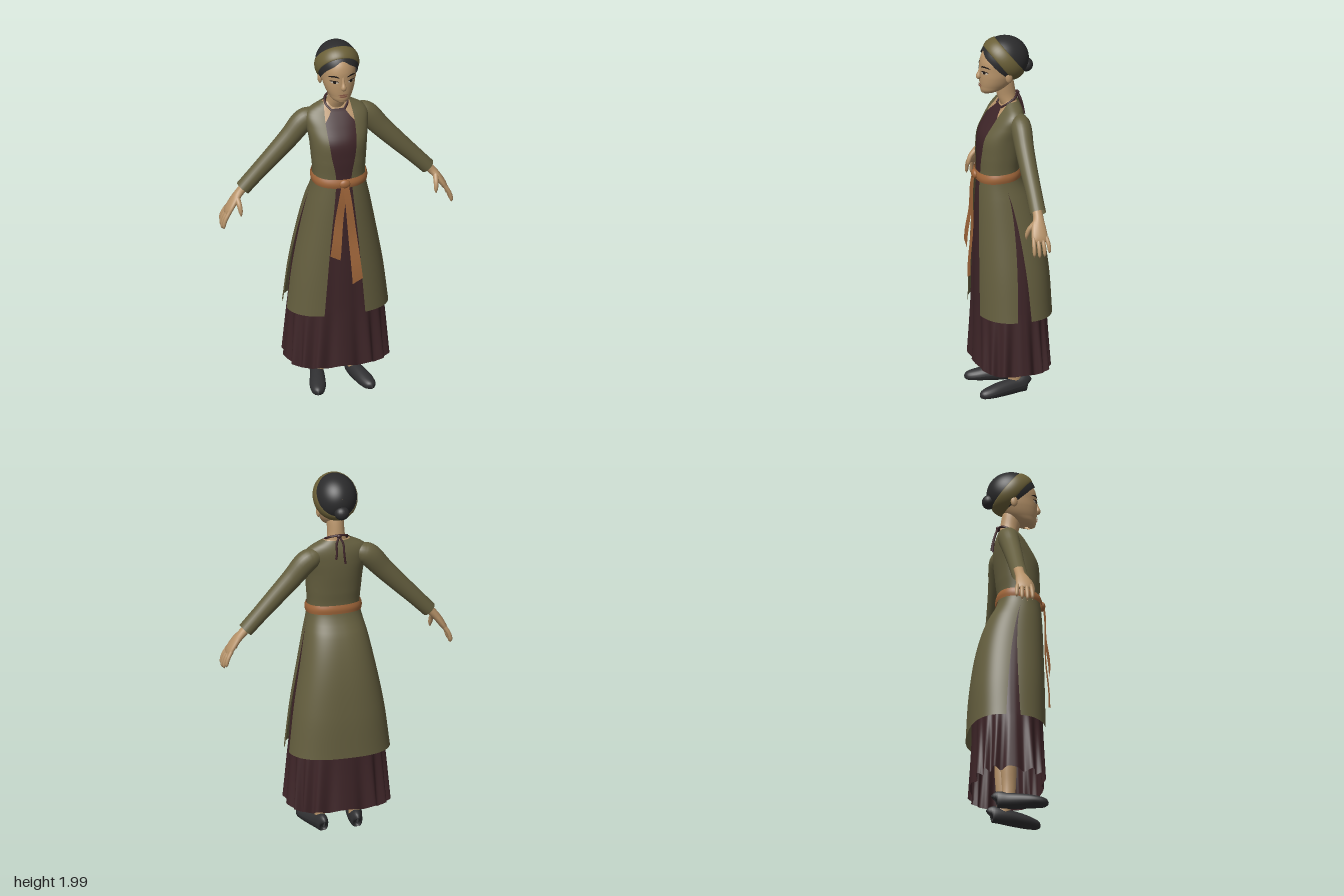
import * as THREE from 'three';
import { ParametricGeometry } from 'three/addons/geometries/ParametricGeometry.js';

const mat = (name, color) => new THREE.MeshStandardMaterial({ name, color, side: THREE.DoubleSide });
const { sin, cos, PI, abs, sign, min, max, asin } = Math;

// Smooth lookup in a table whose rows start with their key
function table(rows) {
  const f = new THREE.CubicInterpolant(rows.map(r => r[0]), rows.flatMap(r => r.slice(1)), rows[0].length - 1);
  return k => [...f.evaluate(k)];
}
const ramp = (y, y0, y1) => max(0, min(1, (y - y0) / (y1 - y0)));

// Body sections: height, half width, front z, back z, roundness
const coatBody = table([
  [0.46, 0.278, 0.185, -0.225, 0.76], [0.7, 0.247, 0.182, -0.212, 0.77], [0.95, 0.2, 0.177, -0.175, 0.8],
  [1.1, 0.169, 0.172, -0.128, 0.83], [1.2, 0.145, 0.165, -0.075, 0.86], [1.24, 0.14, 0.16, -0.062, 0.87],
  [1.35, 0.147, 0.16, -0.07, 0.88], [1.45, 0.156, 0.15, -0.08, 0.88], [1.52, 0.167, 0.11, -0.083, 0.88],
  [1.575, 0.168, 0.07, -0.08, 0.88], [1.605, 0.145, 0.045, -0.073, 0.9], [1.642, 0.075, 0.028, -0.06, 1]]);
const dressBody = table([
  [0.15, 0.266, 0.172, -0.2, 0.64], [0.46, 0.25, 0.168, -0.192, 0.74], [0.7, 0.228, 0.168, -0.19, 0.77],
  [0.95, 0.186, 0.164, -0.16, 0.8], [1.1, 0.157, 0.16, -0.115, 0.83], [1.24, 0.128, 0.15, -0.05, 0.87]]);
const headBody = table([
  [1.684, 0.015, 0.125, 0.08, 1], [1.697, 0.042, 0.138, 0.045, 1], [1.73, 0.066, 0.144, -0.01, 0.95],
  [1.78, 0.084, 0.147, -0.05, 0.95], [1.82, 0.09, 0.146, -0.075, 0.95], [1.87, 0.092, 0.143, -0.085, 0.95],
  [1.91, 0.084, 0.129, -0.085, 1], [1.94, 0.068, 0.103, -0.07, 1], [1.972, 0.015, 0.05, 0, 1]]);

const pow = (v, p) => sign(v) * abs(v) ** p;
function onBody(body, a, y, off, target, grow = 1) {
  const [w, zf, zb, p] = body(y), zm = (zf + zb) / 2;
  return target.set((w + off) * grow * pow(sin(a), p), y, zm + ((zf - zb) / 2 + off) * grow * pow(cos(a), p));
}
// Angle round the body at which a given x is reached
const angleAt = (body, x, y) => { const [w, , , p] = body(y); return asin(min(1, x / w) ** (1 / p)); };

// Part of a body surface between two angles that may change with height
const panel = (body, y0, y1, a0, a1, off, nu = 48, nv = 24) => new ParametricGeometry((u, v, t) => {
  const y = y0 + (y1 - y0) * v;
  onBody(body, a0(y) + (a1(y) - a0(y)) * u, y, off, t);
}, nu, nv);

// Tapered limb: rows of x, y, z, radius along ref, radius across it
function limb(rows, ref = 'z', nu = 16, nv = 20) {
  const f = table(rows.map((r, i) => [i, ...r])), n = rows.length - 1;
  const axis = new THREE.Vector3(ref === 'x' ? 1 : 0, 0, ref === 'z' ? 1 : 0);
  return new ParametricGeometry((u, v, t) => {
    const c = f(v * n), p = f(max(0, v * n - 0.02)), q = f(min(n, v * n + 0.02));
    const dir = new THREE.Vector3(q[0] - p[0], q[1] - p[1], q[2] - p[2]).normalize();
    const b = axis.clone().addScaledVector(dir, -axis.dot(dir)).normalize();
    const m = dir.clone().cross(b);
    t.set(c[0], c[1], c[2]).addScaledVector(b, c[3] * cos(u * 2 * PI)).addScaledVector(m, c[4] * sin(u * 2 * PI));
  }, nu, nv);
}

// Shell on the skull about a tilted axis, between two polar angles
function skullShell(tilt, from, to, radius, nu, nv) {
  const A = new THREE.Vector3(0, sin(tilt), -cos(tilt)), U = new THREE.Vector3(0, cos(tilt), sin(tilt));
  return new ParametricGeometry((u, v, t) => {
    const phi = u * 2 * PI, d = min(phi, 2 * PI - phi), th = to(d) + (from - to(d)) * v, r = radius(v);
    t.copy(A).multiplyScalar(cos(th)).addScaledVector(U, sin(th) * cos(phi));
    t.x = sin(th) * sin(phi);
    t.set(t.x * 0.114 * r, 1.87 + t.y * 0.124 * r, 0.012 + t.z * 0.133 * r);
  }, nu, nv);
}

// Thin painted lens following the face
const facePatch = (cx, cy, hw, hh, bend, off) => new ParametricGeometry((u, v, t) => {
  const s = 2 * u - 1, x = cx + s * hw, y = cy + bend * (1 - s * s) + (2 * v - 1) * hh * Math.sqrt(max(0, 1 - s * s));
  onBody(headBody, sign(x) * angleAt(headBody, abs(x), y), y, off, t);
}, 12, 4);

export function createModel() {
  const g = new THREE.Group();
  g.name = 'womanInLongCoat';
  const coat = mat('olive coat', 0x655f3f), band = mat('headband olive', 0x6b6038), dress = mat('dark plum dress', 0x3e2528);
  const sash = mat('tan sash', 0xa0663a), skin = mat('skin', 0xb8946a), hair = mat('black hair', 0x2b2b2c);
  const leather = mat('shoe leather', 0x303032), dark = mat('brow dark', 0x1d1715);
  const lip = mat('lips', 0x94604c), white = mat('eye white', 0xc4b5a0);
  const add = (name, geo, m) => {
    const mesh = new THREE.Mesh(geo, m);
    mesh.name = name;
    g.add(mesh);
    return mesh;
  };
  const ball = (name, m, pos, r) => {
    const b = add(name, new THREE.SphereGeometry(1, 20, 14), m);
    b.position.set(...pos);
    b.scale.set(...r);
  };

  // Coat: bodice open in front, two front panels and a back panel with side slits
  const gap = table([[0.46, 0.112], [0.9, 0.075], [1.2, 0.045], [1.25, 0.042], [1.4, 0.068], [1.55, 0.08], [1.61, 0.075], [1.642, 0.07]]);
  const open = y => angleAt(coatBody, gap(y)[0], y);
  const slit = y => 0.11 * (1 - ramp(y, 0.46, 1.15));
  add('coatBodice', panel(coatBody, 1.22, 1.642, open, y => 2 * PI - open(y), 0, 80, 30), coat);
  add('coatFrontLeft', panel(coatBody, 0.46, 1.23, open, y => PI / 2 - slit(y), 0), coat);
  add('coatFrontRight', panel(coatBody, 0.46, 1.23, y => 1.5 * PI + slit(y), y => 2 * PI - open(y), 0), coat);
  add('coatBack', panel(coatBody, 0.46, 1.23, y => PI / 2 + slit(y), y => 1.5 * PI - slit(y), 0), coat);

  // Dress: bib and pleated skirt
  const bib = table([[1.2, 0.06], [1.45, 0.09], [1.54, 0.088], [1.585, 0.052], [1.61, 0.036]]);
  const bibAngle = y => angleAt(coatBody, bib(y)[0], y);
  add('dressBib', panel(coatBody, 1.2, 1.61, y => -bibAngle(y), bibAngle, -0.004, 24, 24), dress);
  add('dressSkirt', new ParametricGeometry((u, v, t) => {
    const y = 0.15 + 1.09 * v, a = u * 2 * PI, k = 1 - ramp(y, 0.15, 0.5), soft = 1 - ramp(y, 0.4, 1.1);
    const fold = cos(16 * a + 0.6 * sin(3 * a));
    onBody(dressBody, a, y, 0, t, 1 + (0.018 * soft + 0.04 * k) * fold);
    t.y += 0.008 * k * k * fold;
  }, 160, 28), dress);

  // Halter strap round the neck, tied behind
  const tube = (pts, r) => new THREE.TubeGeometry(new THREE.CatmullRomCurve3(pts.map(p => new THREE.Vector3(...p))), 32, r, 6);
  add('halterStrap', tube([[0.036, 1.605, 0.04], [0.06, 1.632, 0.008], [0.05, 1.658, -0.035], [0, 1.672, -0.057],
    [-0.05, 1.658, -0.035], [-0.06, 1.632, 0.008], [-0.036, 1.605, 0.04]], 0.0065), dress);
  ball('halterKnot', dress, [0, 1.668, -0.062], [0.014, 0.011, 0.01]);
  for (const [s, y] of [[1, 1.55], [-1, 1.52]])
    add('halterTie', tube([[0, 1.668, -0.062], [s * 0.018, 1.63, -0.076], [s * 0.02, 1.58, -0.088], [s * 0.026, y, -0.092]], 0.006), dress);

  // Sash with knot and hanging tails
  add('sash', new ParametricGeometry((u, v, t) => {
    const a = u * 2 * PI, y = 1.238 - 0.012 * cos(a) + (v - 0.5) * 0.048;
    onBody(coatBody, a, y, 0.006 + 0.006 * sin(v * PI), t);
  }, 64, 6), sash);
  ball('sashKnot', sash, [0, 1.228, 0.176], [0.03, 0.025, 0.016]);
  for (const [x, y, z] of [[-0.06, 0.81, 0.205], [0.058, 0.67, 0.222]])
    add('sashTail', new ParametricGeometry((u, v, t) => {
      const k = 1 - v, w = 0.016 + 0.012 * k, s = 2 * u - 1;
      t.set(x * k ** 0.8 + s * w, 1.235 + (y - 1.235) * k + sign(x) * s * 0.015 * k, 0.182 + (z - 0.182) * k + 0.004 * sin(k * 9));
    }, 4, 16), sash);

  // Chest, neck and head
  add('chest', panel(coatBody, 1.25, 1.642, () => 0, () => 2 * PI, -0.011, 48, 20), skin);
  add('neck', limb([[0, 1.56, -0.03, 0.072, 0.045], [0, 1.62, -0.012, 0.056, 0.043], [0, 1.67, 0, 0.046, 0.05],
    [0, 1.74, 0.012, 0.046, 0.05], [0, 1.79, 0.02, 0.04, 0.04]], 'x', 24), skin);
  add('head', panel(headBody, 1.684, 1.972, () => 0, () => 2 * PI, 0, 48, 36), skin);
  ball('chin', skin, [0, 1.699, 0.118], [0.026, 0.014, 0.022]);
  add('nose', limb([[0, 1.85, 0.137, 0.007, 0.006], [0, 1.81, 0.147, 0.009, 0.009], [0, 1.782, 0.153, 0.015, 0.014],
    [0, 1.766, 0.144, 0.004, 0.004]], 'x'), skin);
  add('upperLip', facePatch(0, 1.739, 0.026, 0.004, 0.002, 0.005), lip);
  add('lowerLip', facePatch(0, 1.732, 0.022, 0.005, -0.002, 0.006), lip);

  // Hair, bun and headband
  const rad = PI / 180;
  const hairline = table([[0, 137 * rad], [40 * rad, 142 * rad], [90 * rad, 126 * rad], [135 * rad, 98 * rad], [PI, 74 * rad]]);
  add('hair', skullShell(0.25, 0.01, d => hairline(d)[0], () => 1, 48, 28), hair);
  add('headband', skullShell(0.63, 73 * rad, () => 109 * rad, v => 0.99 + 0.06 * sin(v * PI) ** 0.4, 48, 14), band);
  ball('bun', hair, [0, 1.82, -0.11], [0.04, 0.038, 0.037]);

  for (const s of [1, -1]) {
    const side = s > 0 ? 'left' : 'right';
    const m = rows => rows.map(([x, ...r]) => [s * x, ...r]);

    // Face details
    add(side + 'Eye', facePatch(s * 0.044, 1.814, 0.019, 0.007, 0.001, 0.002), white);
    add(side + 'Iris', facePatch(s * 0.044, 1.815, 0.008, 0.007, 0, 0.0035), dark);
    add(side + 'Lashes', facePatch(s * 0.045, 1.819, 0.022, 0.0025, 0.004, 0.004), dark);
    add(side + 'Brow', facePatch(s * 0.046, 1.842, 0.026, 0.0045, 0.007, 0.003), dark);
    ball(side + 'Ear', skin, [s * 0.093, 1.793, 0.012], [0.012, 0.031, 0.019]);

    // Sleeve, hand, fingers and thumb
    add(side + 'Sleeve', limb(m([[0.09, 1.56, -0.03, 0.03, 0.035], [0.135, 1.55, -0.03, 0.05, 0.054], [0.18, 1.525, -0.03, 0.055, 0.062],
      [0.25, 1.445, -0.026, 0.05, 0.056], [0.34, 1.35, -0.024, 0.046, 0.05], [0.43, 1.257, -0.024, 0.043, 0.044],
      [0.507, 1.176, -0.023, 0.043, 0.041]]), 'z', 24, 30), coat);
    add(side + 'Hand', limb(m([[0.44, 1.245, -0.02, 0.027, 0.026], [0.52, 1.163, -0.02, 0.027, 0.023], [0.555, 1.122, -0.012, 0.038, 0.021],
      [0.585, 1.077, -0.008, 0.044, 0.018], [0.6, 1.05, -0.008, 0.038, 0.012], [0.603, 1.044, -0.008, 0.004, 0.003]])), skin);
    [[-0.044, 0.8], [-0.021, 0.95], [0.003, 1], [0.026, 0.92]].forEach(([z, l]) =>
      add(side + 'Finger', limb(m([[0.59, 1.07, z, 0.011, 0.012], [0.59 + 0.026 * l, 1.07 - 0.045 * l, z * 1.15, 0.011, 0.011],
        [0.59 + 0.037 * l, 1.07 - 0.085 * l, z * 1.2, 0.009, 0.009], [0.59 + 0.036 * l, 1.07 - 0.103 * l, z * 1.2, 0.002, 0.002]]), 'z', 10, 12), skin));
    add(side + 'Thumb', limb(m([[0.545, 1.135, 0.005, 0.016, 0.015], [0.54, 1.105, 0.034, 0.014, 0.013],
      [0.536, 1.07, 0.047, 0.011, 0.011], [0.535, 1.045, 0.05, 0.002, 0.002]]), 'x', 10, 12), skin);

    // Leg and flat-soled shoe
    add(side + 'Leg', limb(m([[0.094, 0.04, -0.02, 0.028, 0.036], [0.095, 0.13, -0.017, 0.029, 0.038], [0.095, 0.3, -0.02, 0.042, 0.046],
      [0.09, 0.65, -0.02, 0.05, 0.052]]), 'x'), skin);
    const shoe = limb(m([[0.092, 0.035, -0.091, 0.005, 0.02], [0.093, 0.04, -0.078, 0.029, 0.048], [0.1, 0.034, -0.02, 0.037, 0.046],
      [0.118, 0.028, 0.06, 0.042, 0.042], [0.133, 0.022, 0.12, 0.042, 0.035], [0.144, 0.015, 0.168, 0.029, 0.026],
      [0.148, 0.01, 0.187, 0.004, 0.008]]), 'x', 24, 28);
    const p = shoe.attributes.position;
    for (let i = 0; i < p.count; i++) p.setY(i, max(0, p.getY(i)));
    shoe.computeVertexNormals();
    add(side + 'Shoe', shoe, leather);
  }
  return g;
}
